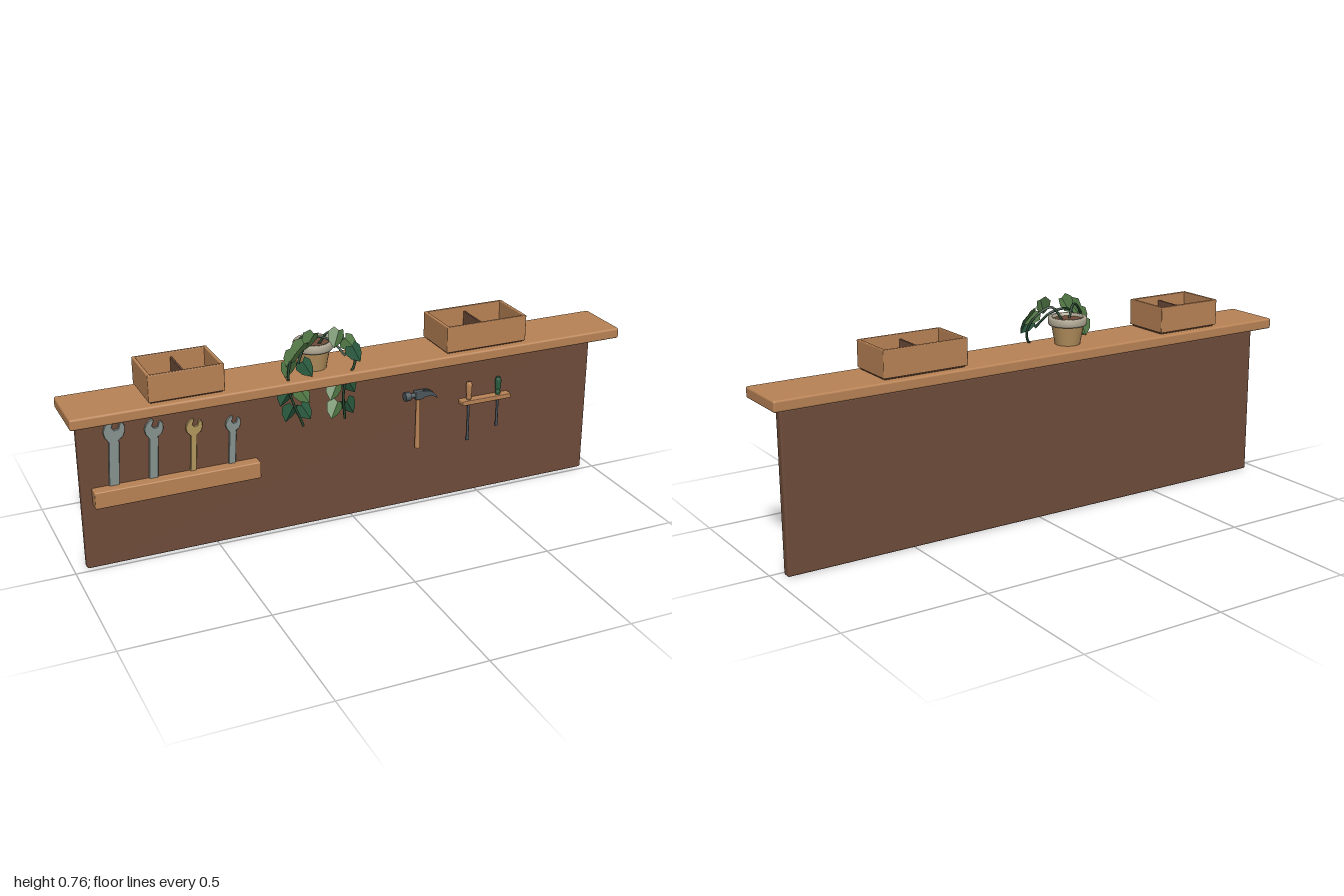
import * as THREE from 'three';
import { RoundedBoxGeometry } from 'three/addons/geometries/RoundedBoxGeometry.js';

const paint = (name, color, side = THREE.FrontSide) => {
  const m = new THREE.MeshStandardMaterial({ color, side });
  m.name = name;
  return m;
};

export function createModel() {
  const root = new THREE.Group();
  root.name = 'toolShelf';
  const wood = paint('wood', 0xb98355);
  const darkWood = paint('darkWood', 0x6f4c3a);
  const steel = paint('steel', 0x86928f);
  const darkSteel = paint('darkSteel', 0x4b555b);
  const brass = paint('brass', 0xb3975c);
  const clay = paint('clay', 0xb8935f);
  const rimClay = paint('rimClay', 0xb3ab97);
  const lightLeaf = paint('lightLeaf', 0x557d48, THREE.DoubleSide);
  const darkLeaf = paint('darkLeaf', 0x2a5c40, THREE.DoubleSide);
  const stem = paint('stem', 0x26452f);
  lightLeaf.flatShading = darkLeaf.flatShading = true;

  const add = (parent, name, geo, mat, x = 0, y = 0, z = 0) => {
    const mesh = new THREE.Mesh(geo, mat);
    mesh.name = name;
    mesh.position.set(x, y, z);
    parent.add(mesh);
    return mesh;
  };
  // Rounded box given by its limits
  const block = (parent, name, mat, x0, x1, y0, y1, z0, z1, r = 0.003) =>
    add(parent, name, new RoundedBoxGeometry(x1 - x0, y1 - y0, z1 - z0, 2, r), mat,
      (x0 + x1) / 2, (y0 + y1) / 2, (z0 + z1) / 2);
  const rod = (parent, name, mat, rTop, rBottom, y0, y1, x = 0, z = 0, sides = 12) =>
    add(parent, name, new THREE.CylinderGeometry(rTop, rBottom, y1 - y0, sides), mat, x, (y0 + y1) / 2, z);
  const group = (name) => {
    const g = new THREE.Group();
    g.name = name;
    root.add(g);
    return g;
  };

  // Board and shelf
  block(root, 'backBoard', darkWood, -0.957, 0.957, 0, 0.547, -0.048, -0.015, 0.007);
  block(root, 'shelfTop', wood, -1, 1, 0.559, 0.597, -0.105, 0.105, 0.007);

  // Open boxes with a divider, a wire coil and screws
  const makeBox = (x0, x1, divider, coilX, screwX) => {
    const g = group('partsBox');
    const t = 0.011, y0 = 0.604, y1 = 0.697;
    block(g, 'floor', darkWood, x0 + 0.006, x1 - 0.006, 0.598, 0.612, -0.082, 0.082);
    for (const s of [-1, 1])
      block(g, 'longWall', wood, x0, x1, y0, y1, s * 0.085 - t / 2, s * 0.085 + t / 2);
    for (const x of [x0, x1 - t])
      block(g, 'endWall', wood, x, x + t, y0, y1, -0.084, 0.084);
    block(g, 'divider', darkWood, divider - 0.004, divider + 0.004, 0.61, 0.68, -0.08, 0.08, 0.002);
    for (const [r, y] of [[0.043, 0.622], [0.043, 0.636], [0.02, 0.622]])
      add(g, 'wireCoil', new THREE.TorusGeometry(r, 0.008, 8, 28), brass, coilX, y, 0).rotation.x = Math.PI / 2;
    for (const dx of [0, 0.028]) for (const z of [-0.03, 0.007, 0.045]) {
      rod(g, 'screwShank', darkSteel, 0.004, 0.004, 0.612, 0.634, screwX + dx, z, 8);
      rod(g, 'screwHead', darkSteel, 0.009, 0.009, 0.634, 0.641, screwX + dx, z, 6);
    }
  };
  makeBox(-0.742, -0.488, -0.612, -0.674, -0.564);
  makeBox(0.312, 0.62, 0.467, 0.396, 0.513);

  // Wrench tray and wrenches
  block(root, 'wrenchTray', wood, -0.922, -0.35, 0.234, 0.294, -0.016, 0.027, 0.004);
  const makeWrench = (x, top, R, s, mat) => {
    const y0 = 0.25, h = top - y0, cy = h - R;
    const turn = (px, py) => {
      const a = -0.3, y = py - 1;
      return [R * (px * Math.cos(a) - y * Math.sin(a)), cy + R * (px * Math.sin(a) + y * Math.cos(a))];
    };
    const side = [[0.65, 0.15], [0.98, 0.65], [1, 1.2], [0.8, 1.75], [0.5, 2], [0.36, 1.85], [0.38, 1.25]];
    const outline = [[s, 0], [s, cy - R * 1.15],
      ...side.map(([px, py]) => turn(px, py)), turn(0, 1.02),
      ...side.slice().reverse().map(([px, py]) => turn(-px, py)),
      [-s, cy - R * 1.15], [-s, 0]];
    const shape = new THREE.Shape(outline.map(([a, b]) => new THREE.Vector2(a, b)));
    const geo = new THREE.ExtrudeGeometry(shape, {
      depth: 0.007, bevelEnabled: true, bevelSize: 0.001, bevelThickness: 0.001, bevelSegments: 1 });
    add(root, 'wrench', geo, mat, x, y0, -0.013).rotation.z = -0.06;
  };
  makeWrench(-0.85, 0.52, 0.034, 0.016, steel);
  makeWrench(-0.717, 0.5, 0.03, 0.014, steel);
  makeWrench(-0.58, 0.478, 0.027, 0.009, brass);
  makeWrench(-0.444, 0.463, 0.025, 0.011, steel);

  // Hammer
  const hammer = group('hammer');
  rod(hammer, 'handle', wood, 0.007, 0.01, 0.224, 0.42, 0.25, 0.002);
  block(hammer, 'headCore', darkSteel, 0.236, 0.268, 0.412, 0.442, -0.01, 0.014);
  const lay = (name, r, x0, x1) => {
    const m = add(hammer, name, new THREE.CylinderGeometry(r, r, x1 - x0, 16), darkSteel, (x0 + x1) / 2, 0.427, 0.002);
    m.rotation.z = Math.PI / 2;
  };
  lay('neck', 0.009, 0.215, 0.24);
  lay('strikingFace', 0.016, 0.197, 0.217);
  const claw = new THREE.Shape();
  claw.moveTo(0.262, 0.441);
  claw.quadraticCurveTo(0.308, 0.445, 0.322, 0.405);
  claw.quadraticCurveTo(0.3, 0.427, 0.262, 0.416);
  const clawGeo = new THREE.ExtrudeGeometry(claw, { depth: 0.008, bevelEnabled: false, curveSegments: 8 });
  for (const z of [-0.009, 0.005]) add(hammer, 'claw', clawGeo, darkSteel, 0, 0, z);

  // Screwdriver rack
  block(root, 'screwdriverRack', wood, 0.42, 0.617, 0.358, 0.375, -0.016, 0.018);
  for (const [x, tip, mat] of [[0.452, 0.214, wood], [0.57, 0.25, darkLeaf]]) {
    const g = group('screwdriver');
    const grip = [[0, 0.372], [0.008, 0.372], [0.01, 0.385], [0.008, 0.392], [0.011, 0.402], [0.011, 0.432], [0.008, 0.441], [0, 0.441]];
    add(g, 'grip', new THREE.LatheGeometry(grip.map(([a, b]) => new THREE.Vector2(a, b)), 12), mat, x, 0, 0.002);
    rod(g, 'shaft', darkSteel, 0.0045, 0.0045, tip + 0.015, 0.375, x, 0.002, 8);
    block(g, 'bladeTip', darkSteel, x - 0.006, x + 0.006, tip, tip + 0.017, 0, 0.004, 0.001);
  }

  // Flower pot
  const plant = group('pottedPlant');
  const px = -0.145;
  rod(plant, 'pot', clay, 0.058, 0.044, 0.597, 0.672, px, 0, 28);
  const rim = [[0.053, 0.665], [0.065, 0.665], [0.068, 0.672], [0.068, 0.688], [0.064, 0.693], [0.053, 0.693], [0.053, 0.665]];
  add(plant, 'potRim', new THREE.LatheGeometry(rim.map(([a, b]) => new THREE.Vector2(a, b)), 28), rimClay, px, 0, 0);
  rod(plant, 'soil', darkWood, 0.055, 0.055, 0.672, 0.683, px, 0, 28);

  // Trailing vines
  const vines = [
    [[-0.16, 0.68, 0.012], [-0.19, 0.725, 0.03], [-0.24, 0.69, 0.06], [-0.268, 0.58, 0.082], [-0.22, 0.43, 0.09]],
    [[-0.13, 0.68, 0.012], [-0.1, 0.725, 0.03], [-0.045, 0.69, 0.055], [-0.025, 0.63, 0.075], [-0.07, 0.54, 0.085], [-0.07, 0.43, 0.09]],
    [[-0.23, 0.65, 0.075], [-0.19, 0.7, 0.045], [-0.145, 0.715, 0.03], [-0.1, 0.7, 0.045], [-0.06, 0.65, 0.075]],
  ];
  for (const points of vines) {
    const curve = new THREE.CatmullRomCurve3(points.map((p) => new THREE.Vector3(...p)));
    add(plant, 'vine', new THREE.TubeGeometry(curve, 28, 0.0045, 6), stem);
  }

  // Leaf folded along its midrib, growing from the base towards -y
  const half = [[0, 0], [0.017, 0.008], [0.03, -0.014], [0.022, -0.04], [0, -0.062]];
  const corners = [];
  for (const s of [1, -1]) for (let i = 1; i < 4; i++) {
    const a = half[i], b = half[i + 1];
    const tri = [[0, 0], a, b];
    if (s > 0) tri.reverse();
    for (const [x, y] of tri) corners.push(s * x, y, -x * 0.5);
  }
  const leafGeo = new THREE.BufferGeometry();
  leafGeo.setAttribute('position', new THREE.Float32BufferAttribute(corners, 3));
  leafGeo.computeVertexNormals();

  // x, y of the base, turn and shade of each leaf
  const leaves = [
    [-0.17, 0.742, -0.5, 0], [-0.085, 0.745, -0.4, 0], [-0.21, 0.72, -0.7, 0], [-0.06, 0.71, 0.7, 0],
    [-0.235, 0.69, -0.6, 0], [-0.04, 0.685, 0.4, 1], [-0.25, 0.655, -0.3, 0], [-0.215, 0.655, 0.5, 1],
    [-0.265, 0.56, -0.5, 1], [-0.225, 0.56, 0.5, 0], [-0.25, 0.5, -0.4, 1], [-0.095, 0.56, -0.5, 0],
    [-0.05, 0.56, 0.5, 1], [-0.09, 0.49, -0.5, 0], [-0.06, 0.49, 0.5, 1], [-0.22, 0.5, 0.5, 1],
  ];
  leaves.forEach(([x, y, turn, shade], i) => {
    const leaf = add(plant, 'leaf', leafGeo, shade ? darkLeaf : lightLeaf, x, y, 0.072 + 0.006 * (i % 3));
    leaf.rotation.set(i % 2 ? -0.25 : 0.2, 0, turn);
  });
  return root;
}
